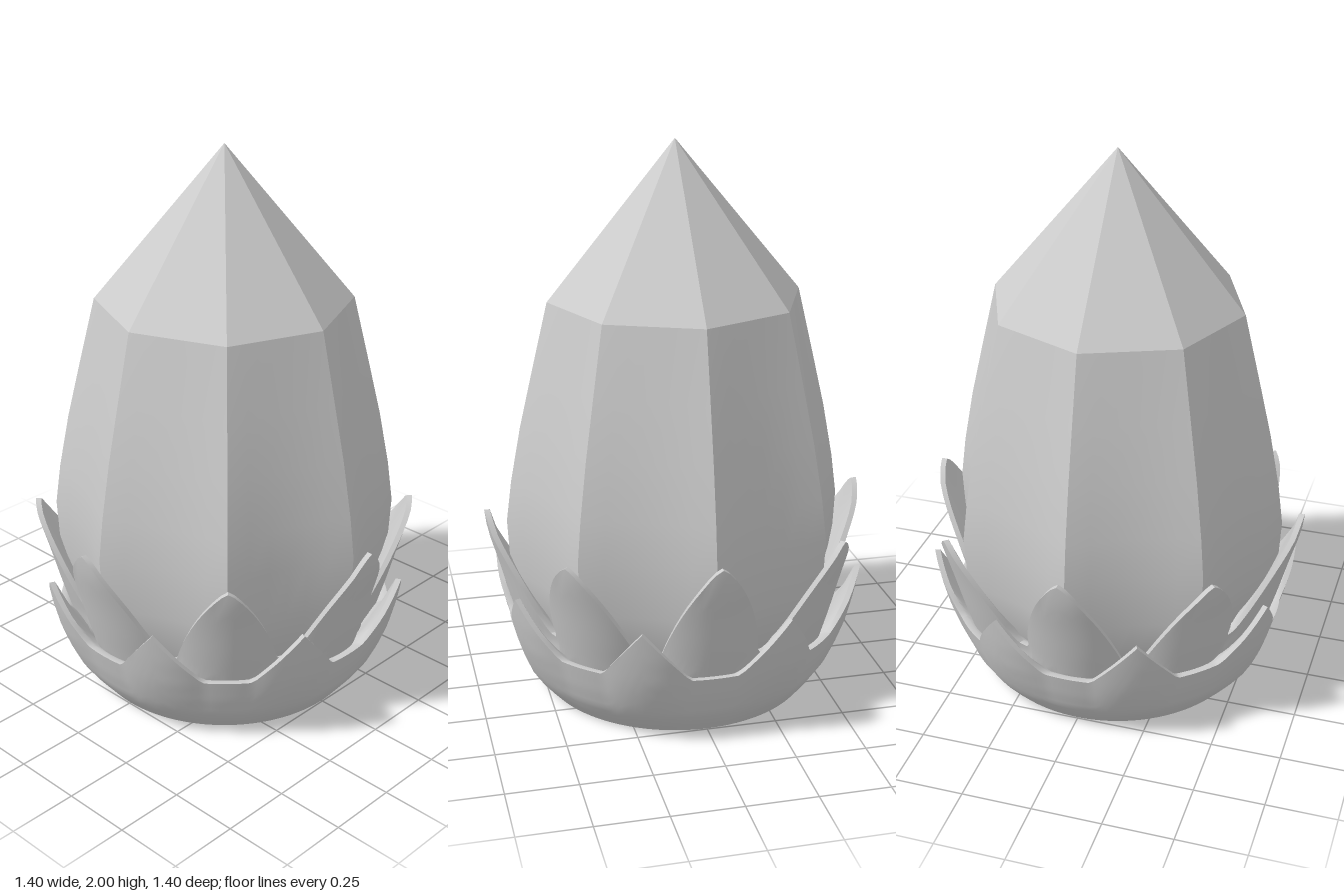
import * as THREE from 'three';
import { toCreasedNormals } from 'three/addons/utils/BufferGeometryUtils.js';

const COLUMNS = 192;
const SECTOR = Math.PI / 4; // eight crystal edges, eight petals per ring

// Piecewise-linear lookup in a list of [y, radius] points
function sample(points, y) {
  for (let i = 1; i < points.length; i++) {
    const [y0, r0] = points[i - 1], [y1, r1] = points[i];
    if (y <= y1) return r0 + (r1 - r0) * Math.max(0, (y - y0) / (y1 - y0));
  }
  return points[points.length - 1][1];
}

// Skins closed rings: ringPoint(row, angle) returns [radius, y]
function loft(rows, columns, crease, ringPoint) {
  const positions = [], index = [];
  for (let i = 0; i < rows; i++) {
    for (let j = 0; j < columns; j++) {
      const a = (j / columns) * Math.PI * 2;
      const [r, y] = ringPoint(i, a);
      positions.push(r * Math.sin(a), y, r * Math.cos(a));
    }
  }
  const radius = (k) => Math.hypot(positions[k * 3], positions[k * 3 + 2]);
  for (let i = 0; i < rows - 1; i++) {
    for (let j = 0; j < columns; j++) {
      const n = (j + 1) % columns;
      const a = i * columns + j, b = i * columns + n;
      const c = b + columns, d = a + columns;
      if (radius(a) > 1e-6) index.push(a, b, c);
      if (radius(d) > 1e-6) index.push(a, c, d);
    }
  }
  const g = new THREE.BufferGeometry();
  g.setAttribute('position', new THREE.Float32BufferAttribute(positions, 3));
  g.setIndex(index);
  return toCreasedNormals(g, crease);
}

// Eight-sided crystal; its faces hollow slightly towards the base
function crystalGeometry() {
  const profile = [
    [0.08, 0.45], [0.3, 0.58], [0.45, 0.61], [0.65, 0.62], [0.8, 0.6],
    [1.0, 0.562], [1.2, 0.515], [1.45, 0.455], [2, 0],
  ];
  return loft(profile.length, 48, 0.33, (i, a) => {
    const [y, r] = profile[i];
    const m = a - SECTOR * Math.floor(a / SECTOR + 1e-6) - SECTOR / 2;
    const hollow = 0.045 * THREE.MathUtils.clamp((1.45 - y) / 0.8, 0, 1);
    const across = 1 - (2 * m / SECTOR) ** 2;
    return [r * Math.cos(SECTOR / 2) / Math.cos(m) * (1 - hollow * across), y];
  });
}

// Cup with a petalled rim: outer wall, thin lip, then an inner wall sloping to the crystal
function petalRingGeometry({ wall, phase, halfWidth, valley, tip, oddDrop, power, fold }) {
  const up = 14, down = 6;
  return loft(1 + up + down, COLUMNS, 0.75, (i, a) => {
    const k = Math.round((a - phase) / SECTOR);
    const d = Math.min(1, Math.abs(a - phase - k * SECTOR) / halfWidth);
    const top = tip - (Math.abs(k) % 2) * oddDrop;
    const rim = valley + (top - valley) * (1 - d ** power);
    const radius = (y) => sample(wall, y) - fold * d * d * Math.min(1, y / 0.25);
    if (i === 0) return [0, 0];
    if (i <= up) {
      const y = rim * (i - 1) / (up - 1);
      return [radius(y), y];
    }
    const t = (i - up - 1) / (down - 1);
    const y = rim - (rim - valley + 0.05) * t;
    return [radius(y) - 0.02 - 0.07 * t, y];
  });
}

export function createModel() {
  const model = new THREE.Group();
  model.name = 'crystalBud';
  const stone = new THREE.MeshStandardMaterial({ color: 0xcccccc });
  stone.name = 'pale grey stone';

  const add = (name, geometry) => {
    const mesh = new THREE.Mesh(geometry, stone);
    mesh.name = name;
    model.add(mesh);
  };

  add('crystal', crystalGeometry());

  // Tall petals, one on each crystal edge
  add('innerPetals', petalRingGeometry({
    wall: [[0, 0.42], [0.2, 0.57], [0.35, 0.615], [0.5, 0.655], [0.62, 0.69], [0.7, 0.7]],
    phase: 0, halfWidth: 0.34, valley: 0.28, tip: 0.7, oddDrop: 0.035, power: 1.4, fold: 0.06,
  }));

  // Short petals between them, growing from the base cup
  add('outerPetals', petalRingGeometry({
    wall: [[0, 0.495], [0.05, 0.54], [0.1, 0.577], [0.17, 0.61], [0.25, 0.64], [0.35, 0.665], [0.46, 0.685]],
    phase: SECTOR / 2, halfWidth: 0.25, valley: 0.26, tip: 0.46, oddDrop: 0, power: 1, fold: 0.025,
  }));

  return model;
}
